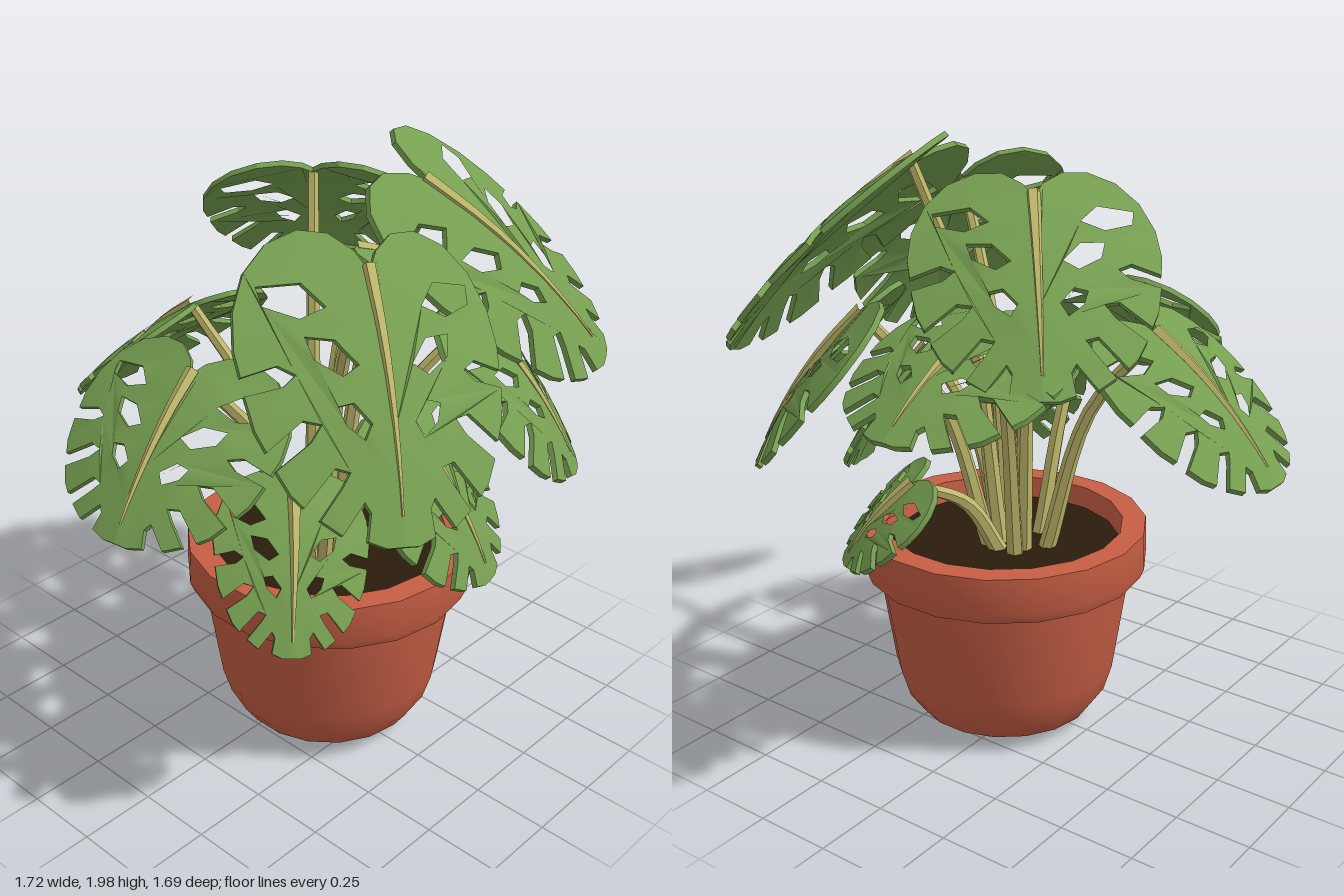
import * as THREE from 'three';
import { toCreasedNormals } from 'three/addons/utils/BufferGeometryUtils.js';

const V = (x, y, z) => new THREE.Vector3(x, y, z);

// Right half of a split leaf: u = 0 midrib to 1 widest, v = 0 stalk to 1 tip
const OUTLINE = [
  [0, 0], [0.08, -0.09], [0.24, -0.17], [0.45, -0.19], [0.68, -0.14], [0.86, -0.03], [0.97, 0.12], [1, 0.27],
  [0.98, 0.37], [0.74, 0.34], [0.63, 0.38], [0.72, 0.42], [0.97, 0.44], [0.93, 0.57], [0.87, 0.65],
  [0.62, 0.55], [0.5, 0.57], [0.58, 0.63], [0.82, 0.72], [0.74, 0.81], [0.66, 0.86],
  [0.44, 0.73], [0.34, 0.75], [0.4, 0.8], [0.56, 0.91], [0.42, 0.97], [0.26, 0.86],
  [0.22, 0.9], [0.25, 1], [0.12, 1.03], [0, 1.03], [0, 0.8], [0, 0.6], [0, 0.4], [0, 0.2],
];
const HOLES = [
  [[0.36, 0.13], [0.5, 0.03], [0.8, 0.03], [0.78, 0.11], [0.55, 0.17]],
  [[0.2, 0.36], [0.34, 0.26], [0.54, 0.24], [0.5, 0.33], [0.32, 0.4]],
  [[0.16, 0.58], [0.27, 0.5], [0.38, 0.51], [0.34, 0.58], [0.22, 0.64]],
];

// base = where the stalk meets the blade, w = half width, roll = sideways tilt
const LEAVES = [
  { name: 'frontRightLargeLeaf', base: [-0.22, 1.75, 0.43], tip: [-0.48, 1.18, 0.79], w: 0.39, roll: -0.22 },
  { name: 'frontLeftTopLeaf', base: [0.21, 1.87, 0.28], tip: [0.59, 1.33, 0.68], w: 0.35, roll: 0.38 },
  { name: 'backLeftTopLeaf', base: [0.21, 1.81, -0.18], tip: [0.56, 1.37, -0.47], w: 0.36, roll: 0 },
  { name: 'leftSideLeaf', base: [0.41, 1.5, -0.17], tip: [0.84, 1.26, -0.16], w: 0.34, roll: 0 },
  { name: 'frontLeftMiddleLeaf', base: [0.37, 1.42, 0.36], tip: [0.53, 0.95, 0.66], w: 0.33, roll: -0.05 },
  { name: 'frontLeaf', base: [-0.02, 1.21, 0.43], tip: [0.04, 0.78, 0.7], w: 0.29, roll: 0 },
  { name: 'rightSideLeaf', base: [-0.49, 1.4, 0], tip: [-0.84, 1.03, 0.05], w: 0.35, roll: -0.06 },
  { name: 'backLeaf', base: [-0.1, 1.38, -0.42], tip: [-0.1, 1.0, -0.83], w: 0.33, roll: 0 },
  { name: 'rightSmallLeaf', base: [-0.38, 1.06, 0.3], tip: [-0.57, 0.7, 0.47], w: 0.23, roll: -0.2 },
  { name: 'leftSmallLeaf', base: [0.4, 0.92, 0.14], tip: [0.52, 0.66, 0.32], w: 0.18, roll: -0.3 },
];

// Returns a function that places (u, v, height) on the arched, drooping blade
function bladeSurface({ base, tip, w, roll }) {
  const b = V(...base), along = V(...tip).sub(b), length = along.length();
  along.normalize();
  const across = along.clone().cross(V(0, 1, 0)).normalize().applyAxisAngle(along, roll);
  const normal = across.clone().cross(along);
  return (u, v, h) => b.clone()
    .addScaledVector(across, u * w)
    .addScaledVector(along, v * length)
    .addScaledVector(normal, h + 0.2 * length * v * (1 - v) - w * (0.06 * Math.abs(u) + 0.17 * u * u));
}

function halfBlade(side, place) {
  const toPoints = list => list.map(([u, v]) => new THREE.Vector2(u * side, v));
  const shape = new THREE.Shape(toPoints(OUTLINE));
  shape.holes = HOLES.map(h => new THREE.Path(toPoints(h)));
  const geo = new THREE.ExtrudeGeometry(shape, { depth: 0.018, bevelEnabled: false });
  const p = geo.attributes.position;
  for (let i = 0; i < p.count; i++) {
    const q = place(p.getX(i), p.getY(i), p.getZ(i) - 0.009);
    p.setXYZ(i, q.x, q.y, q.z);
  }
  geo.computeVertexNormals();
  return toCreasedNormals(geo, 0.5);
}

// Tube that narrows from radius r0 to r1
function taperedTube(points, r0, r1, segments, sides) {
  const curve = new THREE.CatmullRomCurve3(points);
  const geo = new THREE.TubeGeometry(curve, segments, 1, sides);
  const p = geo.attributes.position, q = new THREE.Vector3();
  for (let i = 0; i < p.count; i++) {
    const t = Math.floor(i / (sides + 1)) / segments;
    const c = curve.getPointAt(t);
    q.fromBufferAttribute(p, i).sub(c).multiplyScalar(r0 + (r1 - r0) * t).add(c);
    p.setXYZ(i, q.x, q.y, q.z);
  }
  return toCreasedNormals(geo, 0.6);
}

export function createModel() {
  const leafGreen = new THREE.MeshStandardMaterial({ color: 0x769f51 });
  const stemYellow = new THREE.MeshStandardMaterial({ color: 0xbfb86c });
  const terracotta = new THREE.MeshStandardMaterial({ color: 0xc65e44 });
  const soilBrown = new THREE.MeshStandardMaterial({ color: 0x2b1c0c });
  leafGreen.name = 'leafGreen';
  stemYellow.name = 'stemYellow';
  terracotta.name = 'terracotta';
  soilBrown.name = 'soilBrown';

  const model = new THREE.Group();
  model.name = 'pottedPlant';
  const add = (parent, name, geo, mat) => {
    const mesh = new THREE.Mesh(geo, mat);
    mesh.name = name;
    parent.add(mesh);
    return mesh;
  };

  // Pot with overhanging rim, and soil
  const profile = [[0, 0], [0.24, 0.01], [0.3, 0.045], [0.345, 0.11], [0.372, 0.2], [0.422, 0.54],
    [0.46, 0.54], [0.472, 0.57], [0.468, 0.69], [0.39, 0.69], [0.375, 0.58]];
  const potGeo = new THREE.LatheGeometry(profile.map(([x, y]) => new THREE.Vector2(x, y)), 18);
  add(model, 'pot', toCreasedNormals(potGeo, 0.75), terracotta).position.set(0.02, 0, 0.075);
  const soil = add(model, 'soil', new THREE.CircleGeometry(0.385, 18), soilBrown);
  soil.rotation.x = -Math.PI / 2;
  soil.position.set(0.02, 0.62, 0.075);

  // Leaves: two half blades, a stalk from the soil and a raised midrib
  for (const spec of LEAVES) {
    const leaf = new THREE.Group();
    leaf.name = spec.name;
    model.add(leaf);
    const place = bladeSurface(spec);
    add(leaf, 'leftHalfBlade', halfBlade(1, place), leafGreen);
    add(leaf, 'rightHalfBlade', halfBlade(-1, place), leafGreen);

    const [x, y, z] = spec.base;
    const root = V(x * 0.2, 0.6, 0.02 + z * 0.2);
    const bend = V(x * 0.52, 0.6 + (y - 0.6) * 0.65, 0.01 + z * 0.52);
    const joint = place(0, 0, -0.005);
    add(leaf, 'stalk', taperedTube([root, bend, joint], 0.029, 0.018, 10, 6), stemYellow);
    const rib = [-0.03, 0.25, 0.5, 0.75, 0.92].map(v => place(0, v, 0.008));
    add(leaf, 'midrib', taperedTube(rib, 0.022, 0.004, 8, 5), stemYellow);
  }
  return model;
}
